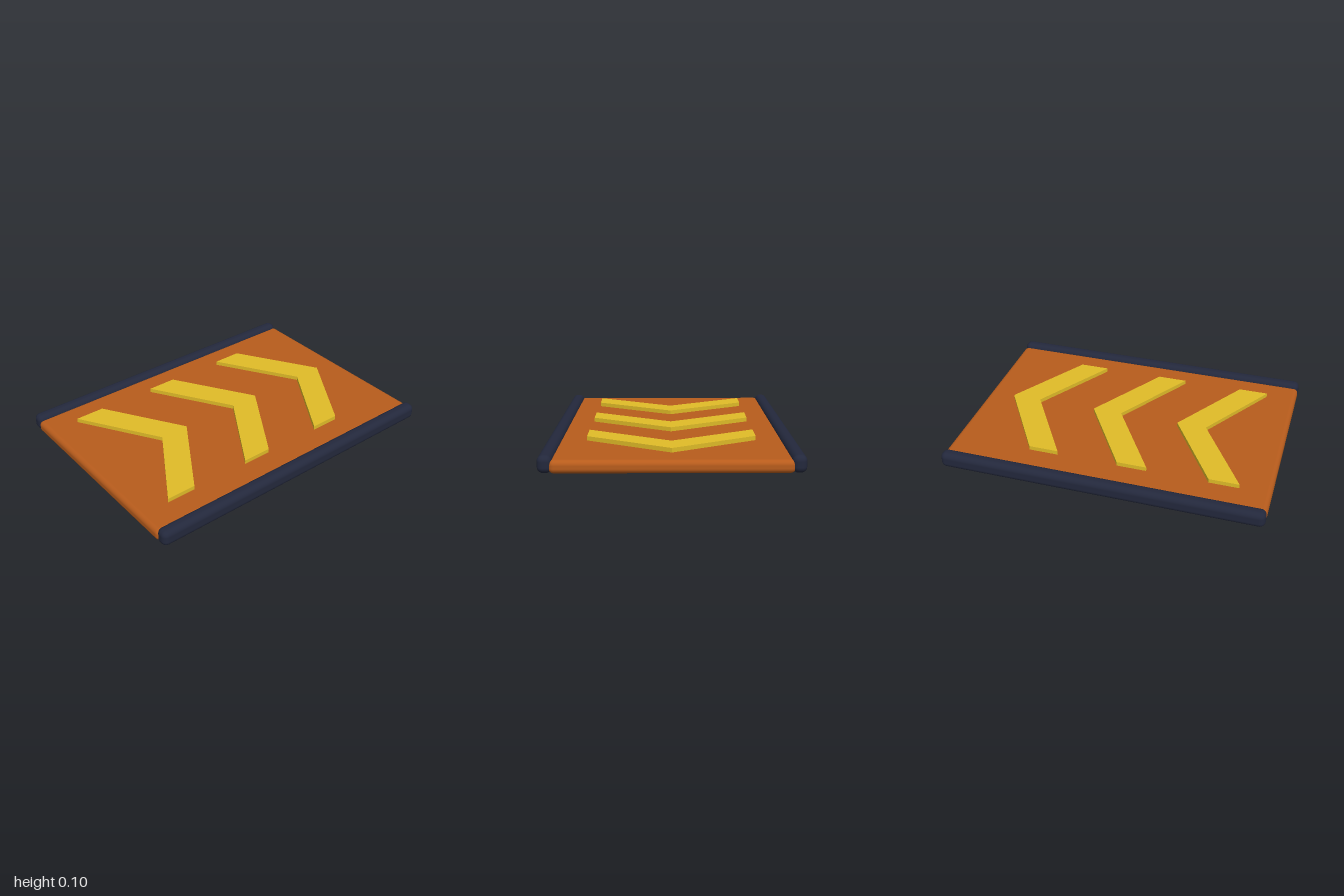
import * as THREE from 'three';
import { RoundedBoxGeometry } from 'three/addons/geometries/RoundedBoxGeometry.js';

const paint = (color) => new THREE.MeshStandardMaterial({ color });

export function createModel() {
  const model = new THREE.Group();
  const orange = paint(0xb85c1c), navy = paint(0x23283c), yellow = paint(0xe0bc28);

  const add = (name, geometry, material, x, y, z) => {
    const mesh = new THREE.Mesh(geometry, material);
    mesh.name = name;
    mesh.position.set(x, y, z);
    model.add(mesh);
  };

  // Flat panel with softly rounded edges
  add('basePanel', new RoundedBoxGeometry(1.34, 0.076, 2, 4, 0.03), orange, 0, 0.038, 0);

  // Side rails, overlapping the panel edges
  const rail = new RoundedBoxGeometry(0.082, 0.101, 2, 4, 0.035);
  add('leftRail', rail, navy, 0.691, 0.0505, 0);
  add('rightRail', rail, navy, -0.691, 0.0505, 0);

  // Raised chevrons pointing to the back (shape y becomes -z)
  const outline = new THREE.Shape([
    [0, 0.25], [-0.5, -0.062], [-0.5, -0.247], [0, 0.063], [0.5, -0.247], [0.5, -0.062],
  ].map(([x, y]) => new THREE.Vector2(x, y)));
  const chevron = new THREE.ExtrudeGeometry(outline, { depth: 0.042, bevelEnabled: false });
  chevron.rotateX(-Math.PI / 2);
  ['backChevron', 'middleChevron', 'frontChevron'].forEach((name, i) =>
    add(name, chevron, yellow, 0, 0.06, (i - 1) * 0.563));

  return model;
}
